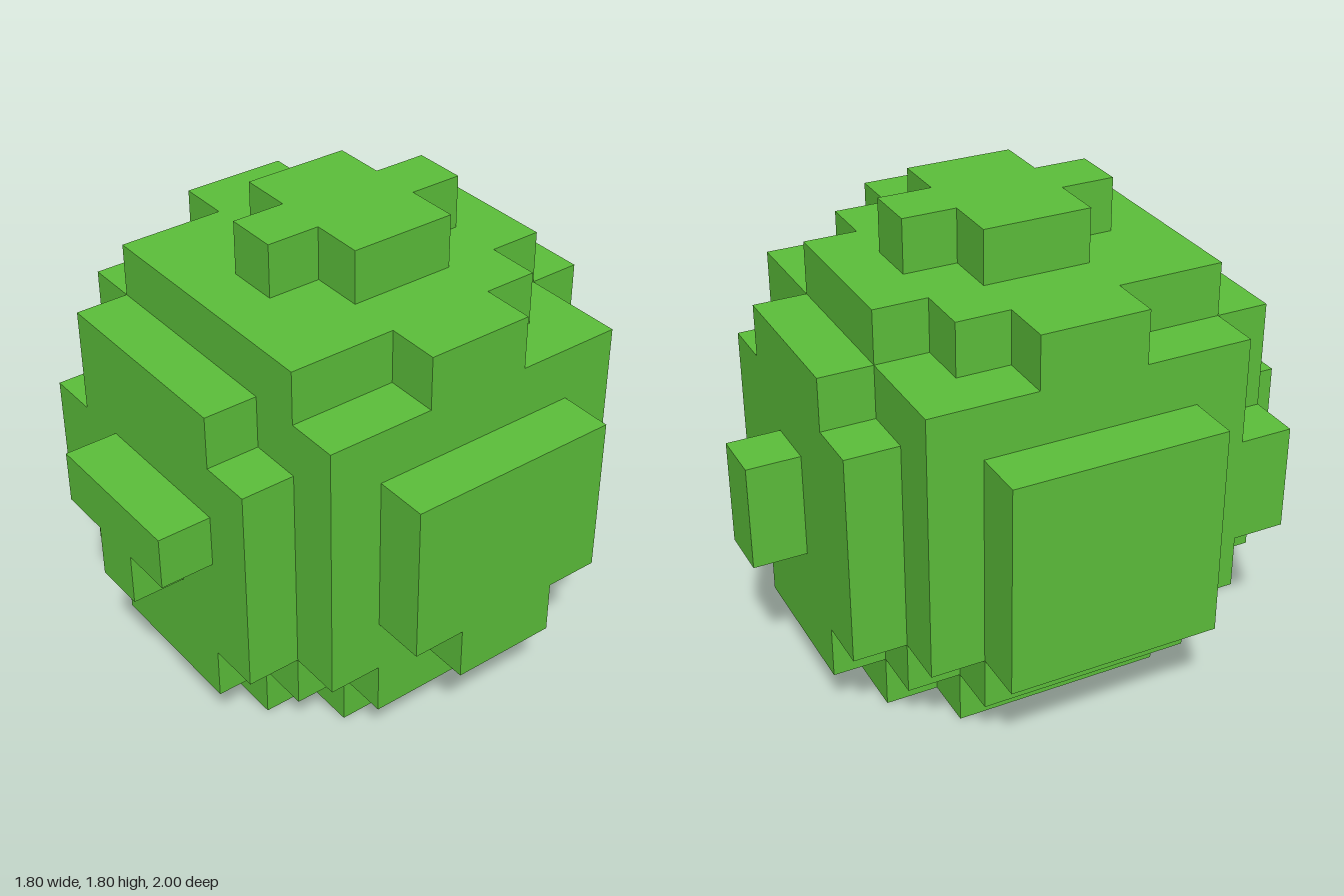
import * as THREE from 'three';

// All outlines and ranges are in tenths of a unit.
const UNIT = 0.1;

// Stepped outline mirrored on both axes, from the corner points of one quadrant
// (ordered from the first axis towards the second).
function mirrored(quadrant) {
  const back = [...quadrant].reverse();
  return [
    ...quadrant,
    ...back.map(([a, b]) => [-a, b]),
    ...quadrant.map(([a, b]) => [-a, -b]),
    ...back.map(([a, b]) => [a, -b]),
  ];
}

const rect = (a0, a1, b0, b1) => [[a0, b0], [a1, b0], [a1, b1], [a0, b1]];

export function createModel() {
  const model = new THREE.Group();
  model.name = 'blockyBall';
  const green = new THREE.MeshStandardMaterial({ color: 0x5cbf3a });
  green.name = 'leafGreen';

  // Extrudes an outline along an axis between two positions.
  // Outline pairs are (x, y) for z, (x, z) for y and (z, y) for x.
  function slab(name, axis, from, to, outline) {
    const points = outline.map(([a, b]) => new THREE.Vector2(
      (axis === 'x' ? -a : a) * UNIT,
      (axis === 'y' ? -b : b) * UNIT,
    ));
    const geometry = new THREE.ExtrudeGeometry(new THREE.Shape(points), {
      depth: (to - from) * UNIT, bevelEnabled: false,
    });
    geometry.translate(0, 0, from * UNIT);
    if (axis === 'y') geometry.rotateX(-Math.PI / 2);
    if (axis === 'x') geometry.rotateY(Math.PI / 2);
    const mesh = new THREE.Mesh(geometry, green);
    mesh.name = name;
    model.add(mesh);
  }

  // Stacked horizontal tiers, bottom to top
  slab('base', 'y', 0, 2, mirrored([[5, 4], [3, 4], [3, 6]]));
  slab('lowerTier', 'y', 2, 4, mirrored([[7, 4], [5, 4], [5, 6]]));
  slab('body', 'y', 4, 14, rect(-7, 7, -6, 6));
  slab('upperTier', 'y', 14, 16, [
    [-5, 6], [5, 6], [5, 2], [7, 2], [7, -2], [5, -2], [5, -4], [3, -4],
    [3, -6], [-3, -6], [-3, -4], [-5, -4], [-5, -2], [-7, -2], [-7, 2], [-5, 2],
  ]);
  slab('crown', 'y', 16, 18, mirrored([[3, 2], [1, 2], [1, 4]]));

  // Front panel with its T-shaped bump
  slab('frontPanel', 'z', 6, 8, [
    [-3, 2], [3, 2], [3, 4], [5, 4], [5, 12], [3, 12], [3, 14], [-5, 14],
    [-5, 10], [-7, 10], [-7, 6], [-5, 6], [-5, 4], [-3, 4],
  ]);
  slab('frontBump', 'z', 8, 10, [
    [-1, 6], [1, 6], [1, 8], [3, 8], [3, 10], [-3, 10], [-3, 8], [-1, 8],
  ]);

  // Back panel with its small bump
  slab('backPanel', 'z', -8, -6, [
    [-3, 2], [3, 2], [3, 4], [5, 4], [5, 12], [3, 12],
    [3, 14], [-3, 14], [-3, 12], [-5, 12], [-5, 4], [-3, 4],
  ]);
  slab('backBump', 'z', -10, -8, rect(-1, 1, 6, 10));

  // Side panels
  slab('leftPanel', 'x', 7, 9, [
    [-2, 4], [2, 4], [2, 6], [4, 6], [4, 12], [-4, 12], [-4, 6], [-2, 6],
  ]);
  slab('rightPanel', 'x', -9, -7, rect(-4, 4, 4, 12));

  return model;
}
